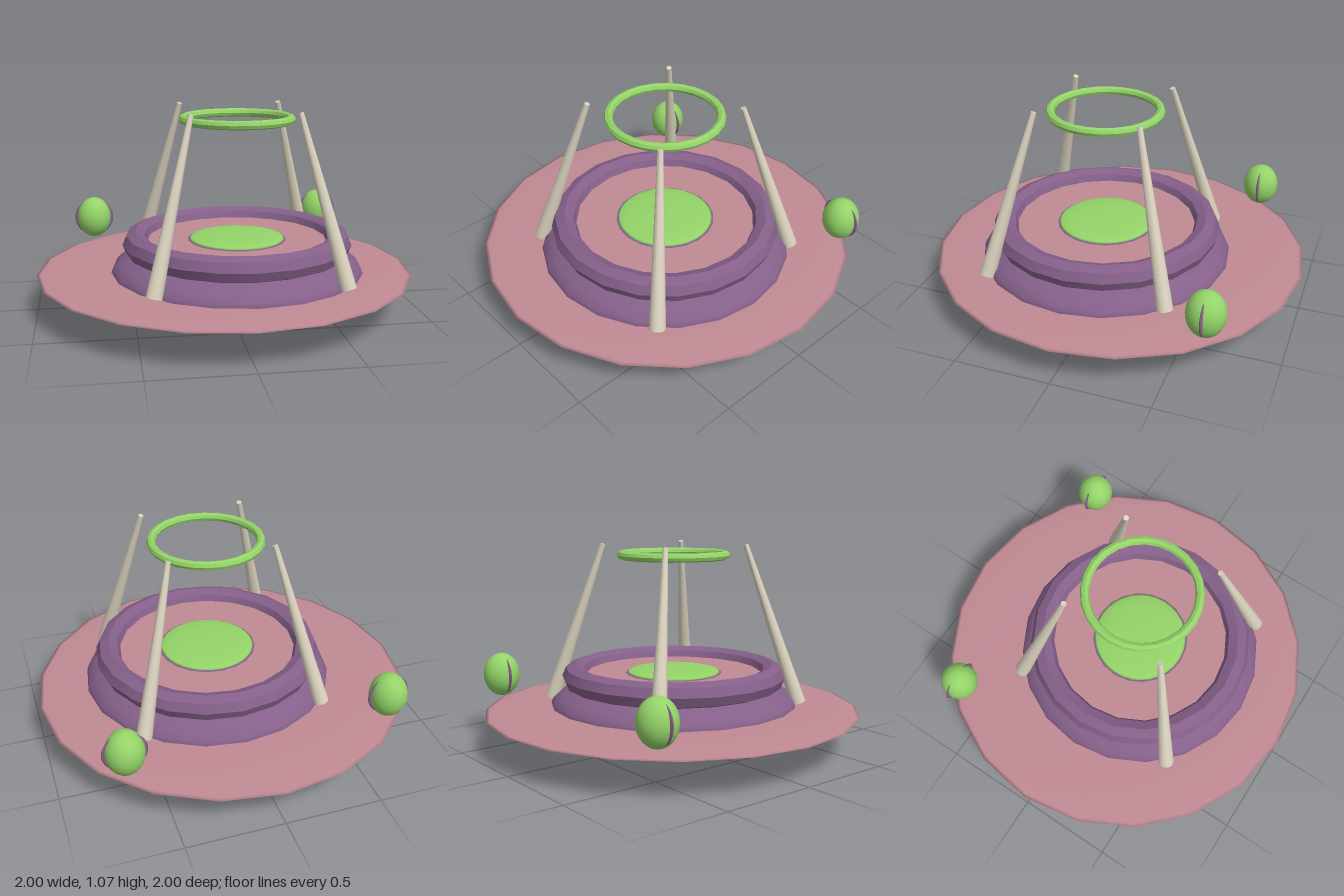
import * as THREE from 'three';
import { toCreasedNormals } from 'three/addons/utils/BufferGeometryUtils.js';

const material = (name, color) => {
  const m = new THREE.MeshStandardMaterial({ color });
  m.name = name;
  return m;
};

export function createModel() {
  const purple = material('purple', 0x85608a);
  const pink = material('dusty pink', 0xc08a94);
  const green = material('light green', 0x94d468);
  const bone = material('bone', 0xdad2be);

  const model = new THREE.Group();
  model.name = 'saucer';

  const add = (parent, name, geometry, mat, x, y, z) => {
    const mesh = new THREE.Mesh(geometry, mat);
    mesh.name = name;
    mesh.position.set(x, y, z);
    parent.add(mesh);
    return mesh;
  };
  const ellipsoid = (rx, ry, rz, w = 20, h = 16) =>
    new THREE.SphereGeometry(1, w, h).scale(rx, ry, rz);
  const hoop = (radius, tube, sides) =>
    toCreasedNormals(new THREE.TorusGeometry(radius, tube, 8, sides).rotateX(Math.PI / 2), 0.6);

  // Wide thin brim
  add(model, 'brim', ellipsoid(1, 0.022, 1), pink, 0, 0.19, 0);

  // Hull and everything that shares its slightly offset centre
  const body = new THREE.Group();
  body.name = 'body';
  body.position.set(0.06, 0, 0.06);
  model.add(body);

  add(body, 'hull', ellipsoid(0.675, 0.19, 0.675), purple, 0, 0.192, 0);
  add(body, 'rim', hoop(0.54, 0.068, 20), purple, 0, 0.355, 0);
  add(body, 'deck', new THREE.CylinderGeometry(0.5, 0.5, 0.02, 20), pink, 0, 0.357, 0);
  add(body, 'centreLight', ellipsoid(0.252, 0.022, 0.252, 32, 12), green, 0, 0.372, 0);
  add(body, 'topRing', hoop(0.282, 0.023, 24), green, 0, 1.008, 0);

  // Four tapered legs leaning in towards the top ring
  const up = new THREE.Vector3(0, 1, 0);
  for (const sx of [-1, 1]) {
    for (const sz of [-1, 1]) {
      const foot = new THREE.Vector3(sx * 0.48, 0.212, sz * 0.48);
      const tip = new THREE.Vector3(sx * 0.272, 1.065, sz * 0.272);
      const axis = tip.clone().sub(foot);
      const middle = foot.clone().add(tip).multiplyScalar(0.5);
      const geometry = toCreasedNormals(new THREE.CylinderGeometry(0.014, 0.042, axis.length(), 16), 0.6);
      const leg = add(body, 'leg', geometry, bone, middle.x, middle.y, middle.z);
      leg.quaternion.setFromUnitVectors(up, axis.normalize());
    }
  }

  // Two eyeballs at the back of the brim, with slit pupils facing sideways
  for (const [name, x, z] of [['rightEye', -0.69, -0.633], ['leftEye', 0.685, -0.658]]) {
    const eye = new THREE.Group();
    eye.name = name;
    eye.position.set(x, 0.348, z);
    add(eye, 'eyeball', ellipsoid(0.098, 0.118, 0.098, 24, 16), green, 0, 0, 0);
    add(eye, 'pupil', ellipsoid(0.112, 0.11, 0.016, 24, 16), purple, 0, 0, 0);
    model.add(eye);
  }

  return model;
}
